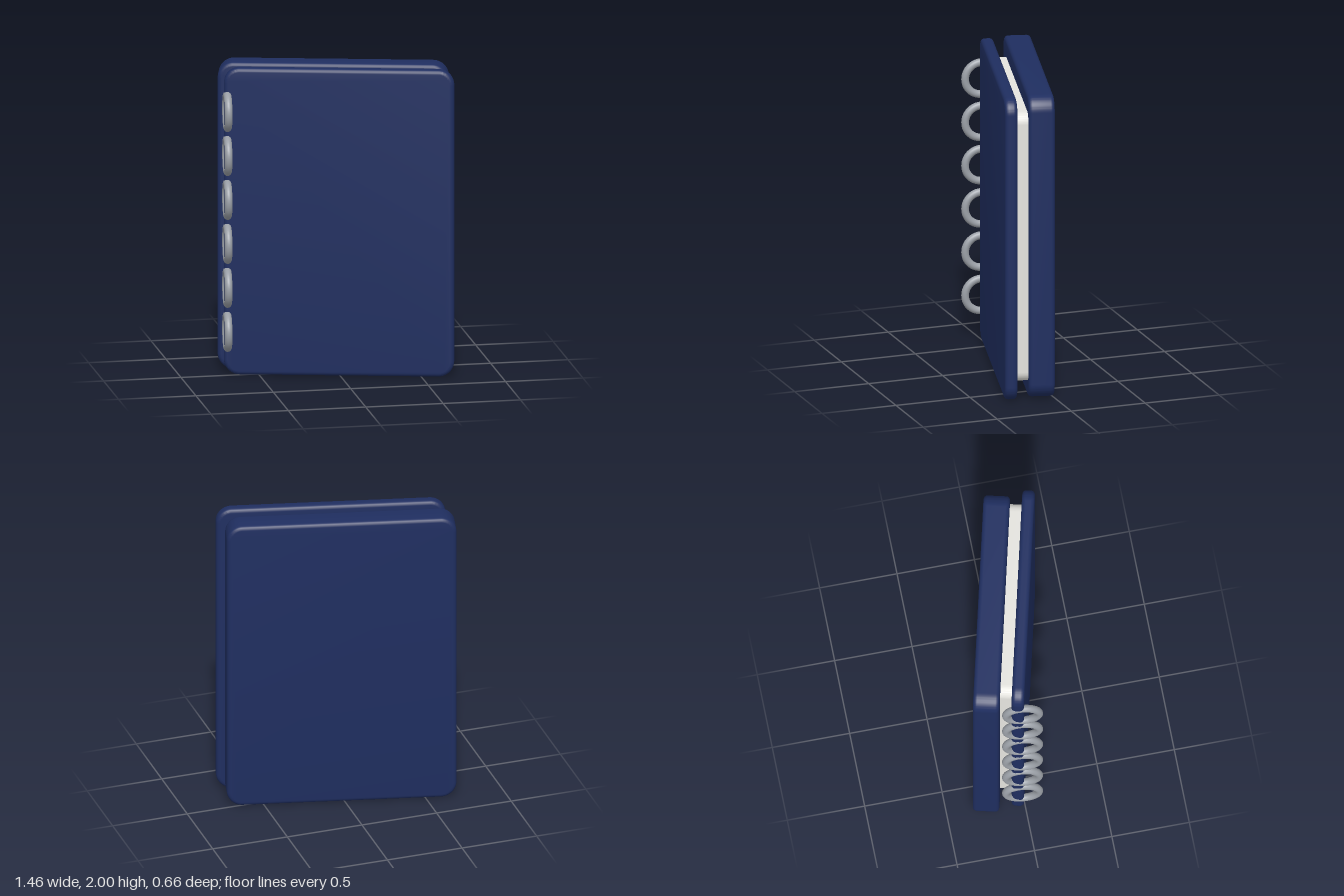
import * as THREE from 'three';
import { toCreasedNormals } from 'three/addons/utils/BufferGeometryUtils.js';

const TILT = -0.24; // the whole book is turned about the vertical

// Upright slab with rounded corners and softened edges, centred on the origin
function slab(width, height, depth, radius, bevel) {
  const w = width / 2, h = height / 2, r = radius;
  const s = new THREE.Shape();
  s.moveTo(w, h - r);
  s.absarc(w - r, h - r, r, 0, Math.PI / 2);
  s.absarc(-w + r, h - r, r, Math.PI / 2, Math.PI);
  s.absarc(-w + r, -h + r, r, Math.PI, Math.PI * 1.5);
  s.absarc(w - r, -h + r, r, Math.PI * 1.5, Math.PI * 2);
  const g = new THREE.ExtrudeGeometry(s, {
    depth: depth - 2 * bevel, curveSegments: 10,
    bevelSize: bevel, bevelThickness: bevel, bevelOffset: -bevel, bevelSegments: 4,
  });
  g.translate(0, 0, bevel - depth / 2);
  return toCreasedNormals(g, 0.6);
}

export function createModel() {
  const model = new THREE.Group();
  model.name = 'ringNotebook';
  const navy = new THREE.MeshStandardMaterial({ color: 0x1f2e60 });
  const paper = new THREE.MeshStandardMaterial({ color: 0xe8e7e2 });
  const metal = new THREE.MeshStandardMaterial({ color: 0x9a9fa6 });

  const add = (name, geometry, material, x, y, z, turn) => {
    const mesh = new THREE.Mesh(geometry, material);
    mesh.name = name;
    mesh.position.set(x, y, z);
    mesh.rotation.y = turn;
    model.add(mesh);
  };

  // Thick back cover, thin front cover and the page block between them
  add('backCover', slab(1.462, 2, 0.168, 0.1, 0.025), navy, 0, 1, -0.084, TILT);
  add('frontCover', slab(1.462, 2, 0.08, 0.1, 0.025), navy, -0.002, 1, 0.121, TILT);
  add('pages', slab(1.31, 1.78, 0.16, 0.07, 0.01), paper, 0.025, 1, 0.048, TILT);

  // Six binding rings along the spine
  const ringGeometry = new THREE.TorusGeometry(0.106, 0.025, 14, 40);
  for (let i = 0; i < 6; i++) {
    add('bindingRing' + (i + 1), ringGeometry, metal,
      -0.697, 1 + (i - 2.5) * 0.287, -0.018, Math.PI / 2 - 0.113);
  }
  return model;
}
